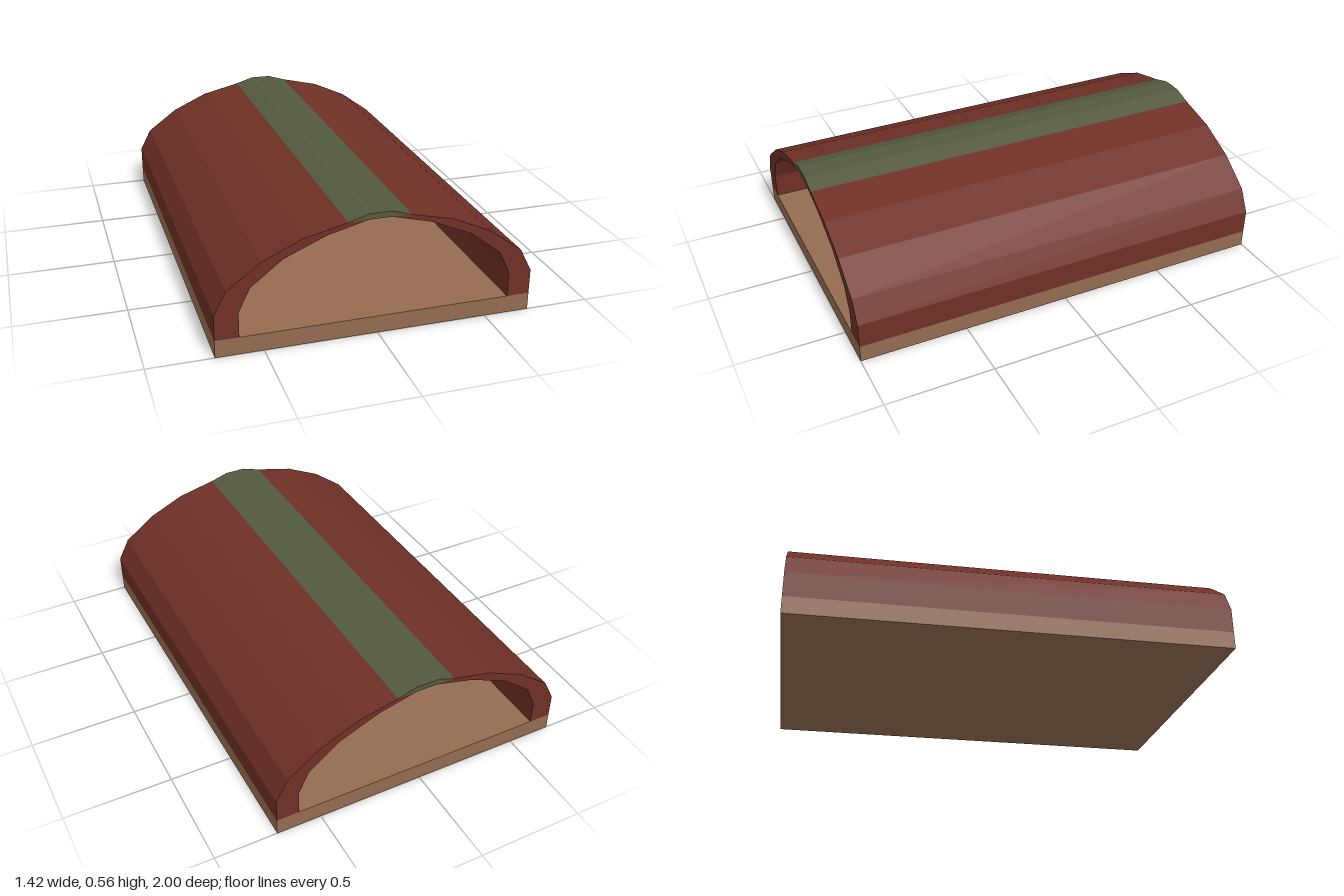
import * as THREE from 'three';

const LENGTH = 2;
const BASE_HEIGHT = 0.08;
const HALF_WIDTH = 0.71;

const tan = new THREE.MeshStandardMaterial({ color: 0x946b51 });
tan.name = 'tan floor';
const red = new THREE.MeshStandardMaterial({ color: 0x6f3026 });
red.name = 'dark red shell';
const green = new THREE.MeshStandardMaterial({ color: 0x545a3f });
green.name = 'olive ridge';

// Cross-section of one side, from the floor up to the ridge
const outer = [[HALF_WIDTH, BASE_HEIGHT], [HALF_WIDTH, 0.195], [0.655, 0.3], [0.505, 0.41], [0.33, 0.49], [0.14, 0.535]];
const inner = [[0.605, BASE_HEIGHT], [0.605, 0.195], [0.555, 0.3], [0.415, 0.41], [0.23, 0.49], [0.05, 0.537]];
const ridge = [[0.14, 0.535], [0.05, 0.563], [-0.05, 0.563], [-0.14, 0.535], [-0.05, 0.537], [0.05, 0.537]];

// Extrude a cross-section along the full length, centred on z = 0
function extrudeProfile(name, points, material) {
  const shape = new THREE.Shape(points.map(([x, y]) => new THREE.Vector2(x, y)));
  const geometry = new THREE.ExtrudeGeometry(shape, { depth: LENGTH, bevelEnabled: false });
  geometry.translate(0, 0, -LENGTH / 2);
  const mesh = new THREE.Mesh(geometry, material);
  mesh.name = name;
  return mesh;
}

export function createModel() {
  const model = new THREE.Group();
  model.name = 'archedShelter';

  // Floor slab
  const floor = new THREE.Mesh(new THREE.BoxGeometry(HALF_WIDTH * 2, BASE_HEIGHT, LENGTH), tan);
  floor.position.y = BASE_HEIGHT / 2;
  floor.name = 'floor';
  model.add(floor);

  // Curved side walls, mirrored left and right
  const side = [...outer, ...[...inner].reverse()];
  for (const [name, s] of [['leftWall', 1], ['rightWall', -1]]) {
    model.add(extrudeProfile(name, side.map(([x, y]) => [x * s, y]), red));
  }

  // Ridge strip along the top
  model.add(extrudeProfile('ridge', ridge, green));
  return model;
}
